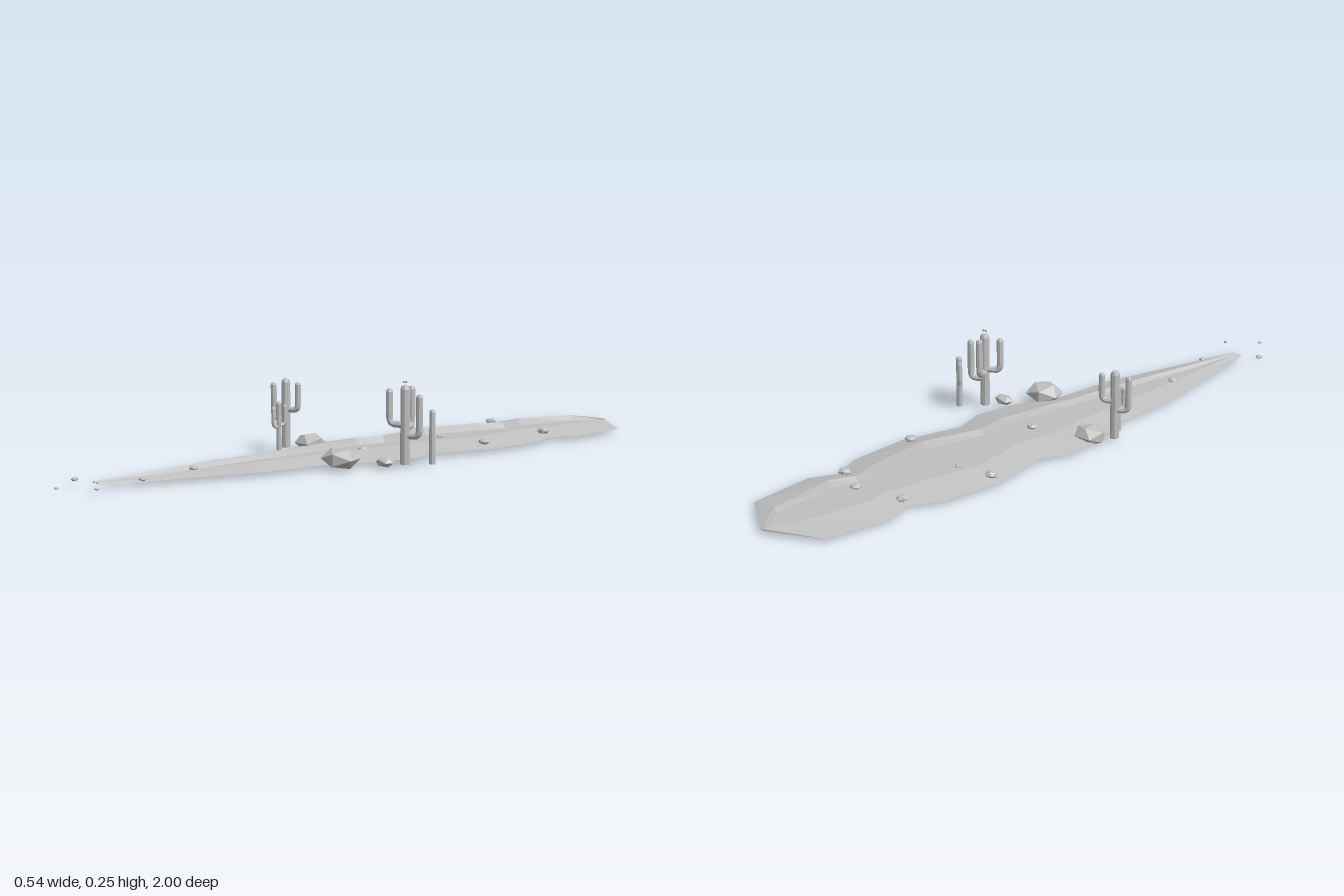
import * as THREE from 'three';

const stone = new THREE.MeshStandardMaterial({ color: 0xbfbfbf, flatShading: true, side: THREE.DoubleSide });
stone.name = 'stone grey';

function add(parent, geometry, name) {
  const mesh = new THREE.Mesh(geometry, stone);
  mesh.name = name;
  parent.add(mesh);
  return mesh;
}

// Canyon stations: z, half width of the outer edge, half width of the ridge
const CX = -0.032;
const STATIONS = [
  [-1, 0.003, 0.001], [-0.91, 0.155, 0.062], [-0.71, 0.18, 0.09], [-0.63, 0.145, 0.07],
  [-0.54, 0.19, 0.09], [-0.35, 0.205, 0.118], [-0.16, 0.163, 0.076], [-0.07, 0.197, 0.09],
  [0.055, 0.185, 0.078], [0.2, 0.13, 0.064], [0.405, 0.122, 0.05], [0.64, 0.07, 0.028],
  [0.865, 0.018, 0.008],
];

// Joins two edges of the canyon into a strip along z
function strip(edgeA, edgeB) {
  const pos = [], index = [];
  STATIONS.forEach((s, i) => {
    pos.push(...edgeA(s), ...edgeB(s));
    if (i) {
      const a = 2 * i - 2;
      index.push(a, a + 2, a + 1, a + 1, a + 2, a + 3);
    }
  });
  const g = new THREE.BufferGeometry();
  g.setAttribute('position', new THREE.Float32BufferAttribute(pos, 3));
  g.setIndex(index);
  g.computeVertexNormals();
  return g;
}

function canyon() {
  const group = new THREE.Group();
  group.name = 'canyon';
  const outer = (d) => ([z, w]) => [CX + d * w, 0.017, z];
  const ridge = (d) => ([z, , h]) => [CX + d * h, 0.023 + 0.017 * Math.min(1, h / 0.09), z];
  const foot = (d) => ([z, , h]) => [CX + d * Math.max(h - 0.008, h * 0.5), 0.018, z];
  add(group, strip(foot(-1), foot(1)), 'canyonFloor');
  add(group, strip(outer(-1), ridge(-1)), 'rightBank');
  add(group, strip(ridge(-1), foot(-1)), 'rightWall');
  add(group, strip(foot(1), ridge(1)), 'leftWall');
  add(group, strip(ridge(1), outer(1)), 'leftBank');
  return group;
}

// Upright stem with a faceted dome, standing on y = 0
function stem(r, h) {
  const pts = [[0, 0], [r, 0], [r, h - r], [r * 0.75, h - r * 0.35], [0, h]];
  return new THREE.LatheGeometry(pts.map(([x, y]) => new THREE.Vector2(x, y)), 8);
}

// arms: [dx, dz, y of the joint, y of the tip]
function cactus(name, x, z, r, top, armR, arms) {
  const group = new THREE.Group();
  group.name = name;
  group.position.set(x, 0.015, z);
  add(group, stem(r, top - 0.015), 'trunk');
  for (const [dx, dz, y0, y1] of arms) {
    const a = y0 - 0.015, b = y1 - 0.015;
    const at = (k, y) => new THREE.Vector3(dx * k, y, dz * k);
    const path = new THREE.CurvePath();
    path.add(new THREE.LineCurve3(at(0, a), at(0.6, a)));
    path.add(new THREE.QuadraticBezierCurve3(at(0.6, a), at(1, a), at(1, a + 0.018)));
    path.add(new THREE.LineCurve3(at(1, a + 0.018), at(1, a + 0.03)));
    add(group, new THREE.TubeGeometry(path, 8, armR, 8), 'armElbow');
    add(group, stem(armR, b - a - 0.025), 'arm').position.copy(at(1, a + 0.025));
  }
  return group;
}

// x, y, z, radius x, radius y, radius z
const BOULDERS = [
  [0.125, 0.036, 0.168, 0.06, 0.033, 0.055],
  [-0.187, 0.03, 0.05, 0.052, 0.029, 0.045],
  [0.19, 0.023, 0.062, 0.032, 0.015, 0.024],
];
// x, y, z, radius
const PEBBLES = [
  [-0.16, 0.034, -0.63, 0.018], [0.005, 0.023, -0.655, 0.017], [0.085, 0.034, -0.63, 0.02],
  [-0.2, 0.03, -0.345, 0.02], [0.135, 0.034, -0.35, 0.018], [-0.08, 0.02, -0.36, 0.011],
  [-0.02, 0.024, -0.02, 0.016], [-0.005, 0.02, 0.3, 0.009], [-0.05, 0.024, 0.545, 0.015],
  [0.01, 0.023, 0.745, 0.011], [-0.1, 0.023, 0.89, 0.011], [0.062, 0.023, 0.915, 0.007],
  [-0.015, 0.022, 0.993, 0.007],
];

export function createModel() {
  const model = new THREE.Group();
  model.name = 'canyonLandscape';
  model.add(canyon());

  // Rocks
  const rocks = new THREE.Group();
  rocks.name = 'rocks';
  model.add(rocks);
  [...BOULDERS, ...PEBBLES.map(([x, y, z, r]) => [x, y, z, r, r * 0.55, r])].forEach(
    ([x, y, z, a, b, c], i) => {
      const g = new THREE.IcosahedronGeometry(1, 0);
      g.rotateY(i * 1.3 + 0.4);
      g.scale(a, b, c);
      add(rocks, g, i < BOULDERS.length ? 'boulder' : 'pebble').position.set(x, y, z);
    });

  // Cacti on both rims
  model.add(cactus('rightTallCactus', -0.228, 0.108, 0.013, 0.223, 0.009,
    [[-0.034, 0.02, 0.102, 0.208], [0.033, -0.02, 0.128, 0.212]]));
  model.add(cactus('rightSmallCactus', -0.197, 0.155, 0.008, 0.16, 0.006,
    [[-0.004, 0.017, 0.085, 0.145], [0.004, -0.018, 0.09, 0.15]]));
  const tall = cactus('leftTallCactus', 0.216, 0.01, 0.014, 0.242, 0.01,
    [[-0.04, 0.025, 0.128, 0.23], [0.037, -0.022, 0.097, 0.217], [-0.016, -0.036, 0.12, 0.235]]);
  model.add(tall);
  model.add(cactus('leftSmallCactus', 0.261, -0.052, 0.009, 0.172, 0.006,
    [[-0.016, -0.012, 0.09, 0.16]]));

  // Tiny buds on the tallest cactus
  for (const dx of [-0.006, 0.005]) {
    add(tall, new THREE.BoxGeometry(0.005, 0.005, 0.005), 'bud').position.set(dx, 0.234, 0);
  }
  return model;
}
